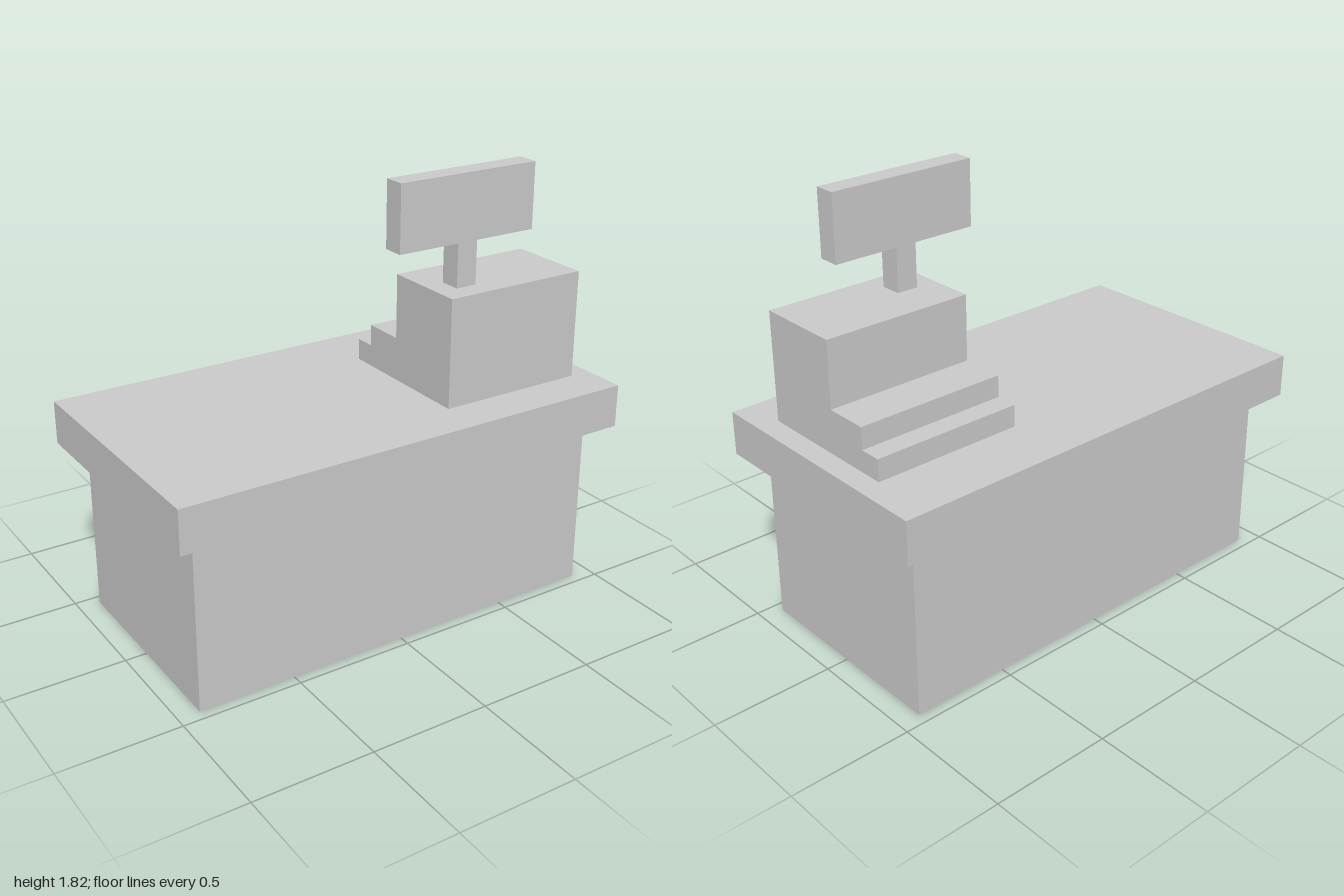
import * as THREE from 'three';

// All sizes are whole grid units; 22 units span the 2-unit width.
const U = 1 / 11;

export function createModel() {
  const group = new THREE.Group();
  const material = new THREE.MeshStandardMaterial({ color: 0xcccccc, flatShading: true });

  function add(name, geometry) {
    const mesh = new THREE.Mesh(geometry, material);
    mesh.name = name;
    group.add(mesh);
    return mesh;
  }

  // Box given by its lower and upper corner, in grid units
  function box(name, [x0, y0, z0], [x1, y1, z1]) {
    const mesh = add(name, new THREE.BoxGeometry((x1 - x0) * U, (y1 - y0) * U, (z1 - z0) * U));
    mesh.position.set((x0 + x1) / 2, (y0 + y1) / 2, (z0 + z1) / 2).multiplyScalar(U);
  }

  // Counter
  box('counterBase', [-10, 0, -5], [10, 8, 5]);
  box('counterTop', [-11, 8, -6], [11, 10, 6]);

  // Register body: stepped side profile (towards the back, up) extruded across its width
  const profile = [[-4, 10], [3, 10], [3, 11], [2, 11], [2, 12], [0, 12], [0, 15], [-4, 15]];
  const shape = new THREE.Shape(profile.map(([back, y]) => new THREE.Vector2(back * U, y * U)));
  const register = add('registerBody',
    new THREE.ExtrudeGeometry(shape, { depth: 7 * U, bevelEnabled: false }));
  register.rotation.y = Math.PI / 2;
  register.position.x = 3 * U;

  // Customer display on its post
  box('displayPost', [4, 15, 2], [5, 17, 3]);
  box('displayScreen', [1, 17, 2], [8, 20, 3]);

  return group;
}
